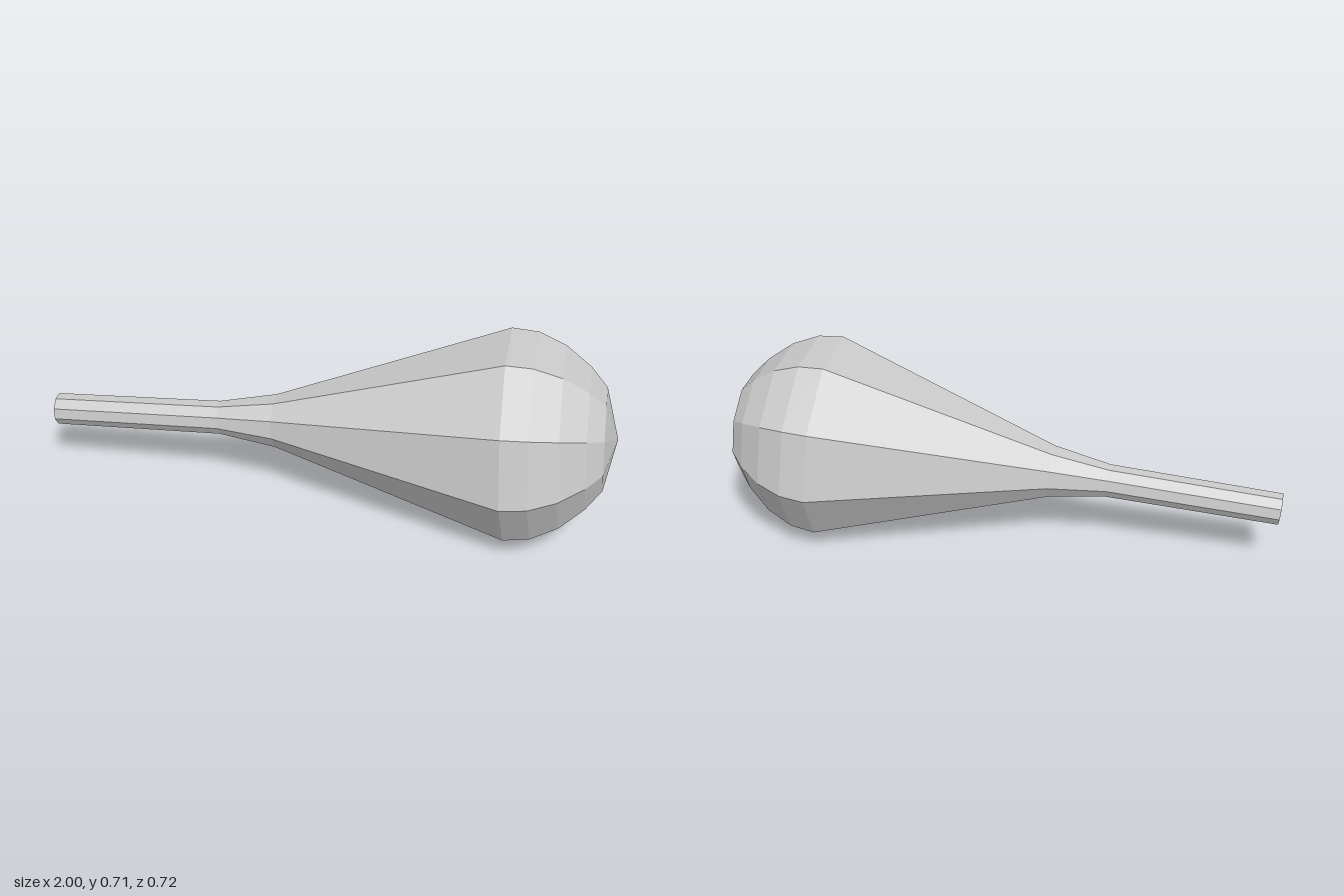
import * as THREE from 'three';

export function createModel() {
  const group = new THREE.Group();
  group.name = 'rattle';

  // Profile [radius, distance along the axis]: closed handle end, handle, flare, domed head
  const profile = [
    [0, 0], [0.057, 0], [0.06, 0.617], [0.0955, 0.826], [0.368, 1.648],
    [0.358, 1.739], [0.315, 1.833], [0.245, 1.919], [0.178, 1.974], [0, 2.017],
  ].map(([r, s]) => new THREE.Vector2(r, s));

  const body = new THREE.Mesh(
    new THREE.LatheGeometry(profile, 9),
    new THREE.MeshStandardMaterial({ color: 0xcccccc, flatShading: true })
  );
  body.name = 'handleAndHead';

  // Lay the axis along the tilted direction, with one corner of the nine sides facing down
  const base = new THREE.Vector3(-0.993, 0.256, 0.23);
  const axis = new THREE.Vector3(1, 0.395, -0.05).sub(base).normalize();
  const down = new THREE.Vector3(0, -1, 0).projectOnPlane(axis).normalize();
  const side = new THREE.Vector3().crossVectors(axis, down);
  body.quaternion.setFromRotationMatrix(new THREE.Matrix4().makeBasis(side, axis, down));
  body.position.copy(base);

  group.add(body);
  return group;
}
